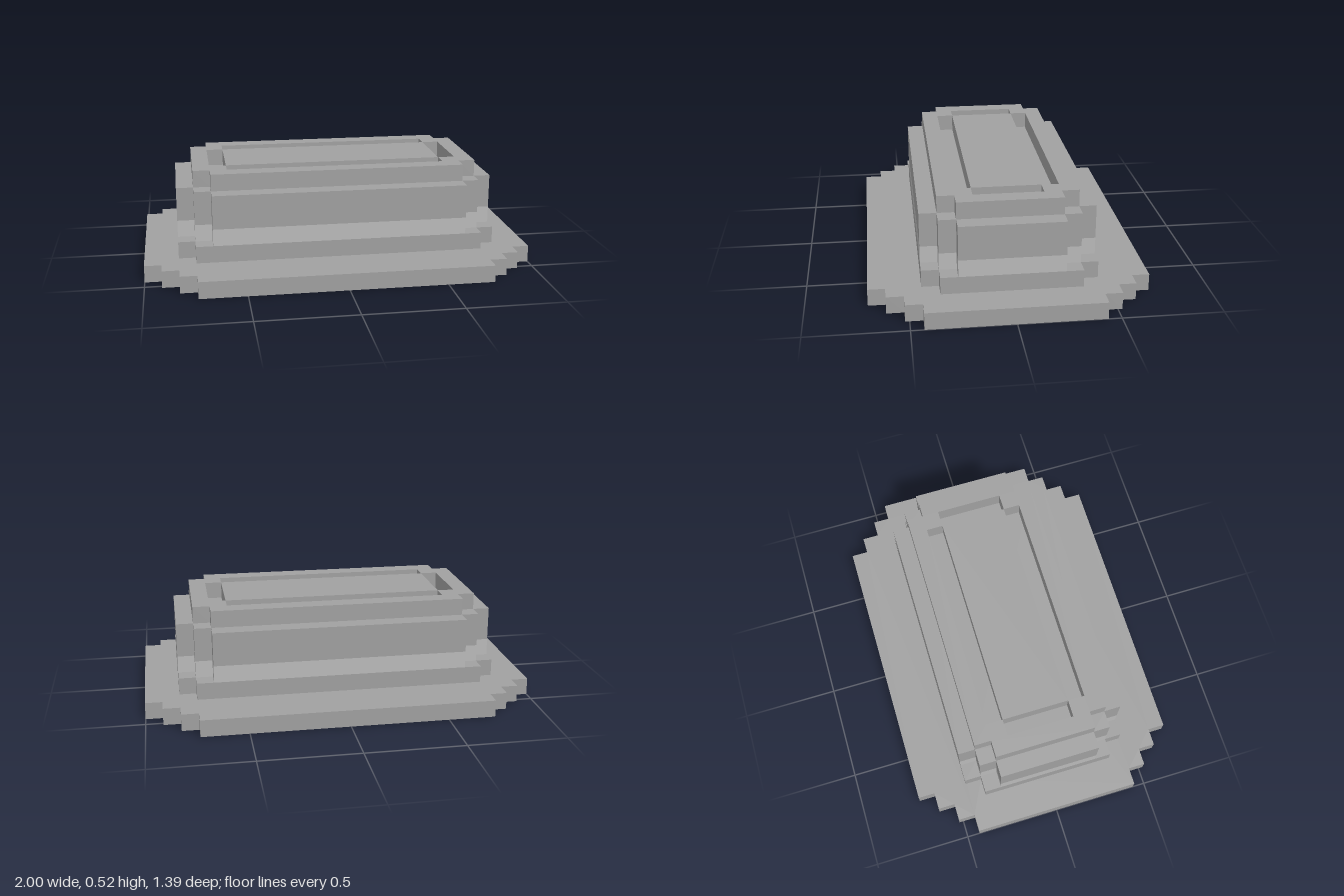
import * as THREE from 'three';

const U = 2 / 23; // one block
const FELT = 0xa0a0a0;
const RIBBON = 0xbababa;

// Corner points of a symmetric stepped outline, from [halfX, halfZ] steps (widest x first)
function outline(steps) {
  const quarter = [];
  steps.forEach(([x, z], i) => {
    if (i > 0) quarter.push([x, steps[i - 1][1]]);
    quarter.push([x, z]);
  });
  const back = [...quarter].reverse();
  return [
    ...quarter,
    ...back.map(([x, z]) => [-x, z]),
    ...quarter.map(([x, z]) => [-x, -z]),
    ...back.map(([x, z]) => [x, -z]),
  ].map(([x, z]) => new THREE.Vector2(x * U, z * U));
}

// One horizontal layer between heights y0 and y1, given in blocks
function layer(name, color, y0, y1, steps, hole) {
  const shape = new THREE.Shape(outline(steps));
  if (hole) shape.holes.push(new THREE.Path(outline(hole)));
  const geometry = new THREE.ExtrudeGeometry(shape, { depth: (y1 - y0) * U, bevelEnabled: false });
  geometry.rotateX(-Math.PI / 2);
  geometry.translate(0, y0 * U, 0);
  const mesh = new THREE.Mesh(geometry, new THREE.MeshStandardMaterial({ color, flatShading: true }));
  mesh.name = name;
  return mesh;
}

export function createModel() {
  const group = new THREE.Group();
  group.name = 'steppedHat';
  const crown = [[9.5, 3], [8.5, 4], [7.5, 5]];

  group.add(
    // wide brim with the opening underneath
    layer('brim', FELT, 0, 1, [[11.5, 5], [10.5, 6], [9.5, 7], [8.5, 8]], [[8.5, 4]]),
    // foot of the crown, hollow with a narrower opening
    layer('crownBase', FELT, 1, 2, [[9.5, 4], [8.5, 5]], [[7.5, 4]]),
    // lighter band around the crown
    layer('band', RIBBON, 2, 3, crown),
    layer('crown', FELT, 3, 5, crown),
    // raised rim, groove, and flush panel in the middle
    layer('topRim', FELT, 5, 6, [[8.5, 3], [7.5, 4]], [[7.5, 2], [6.5, 3]]),
    layer('topPanel', FELT, 5, 6, [[6.5, 2]]),
  );
  return group;
}
